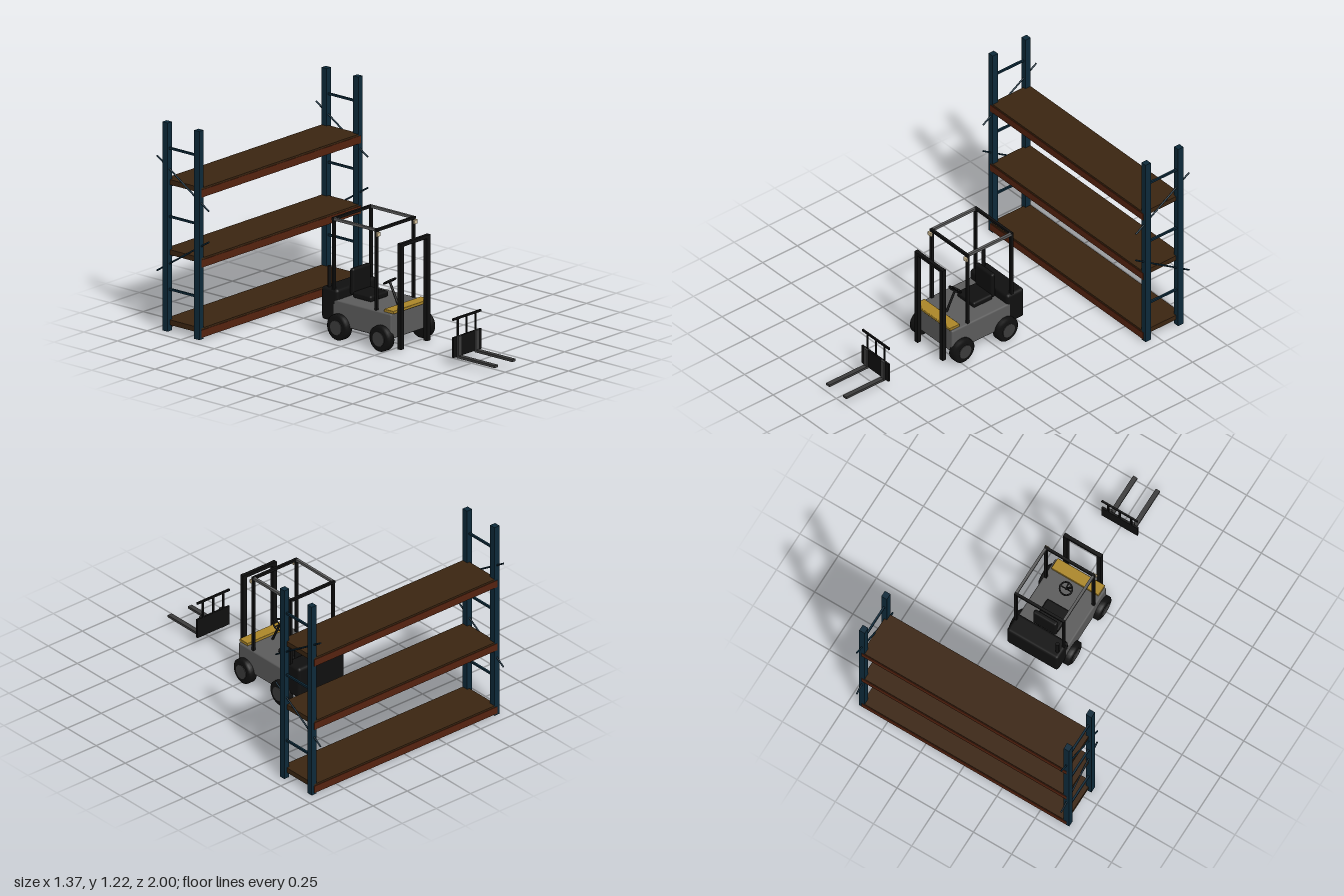
import * as THREE from 'three';
import { RoundedBoxGeometry } from 'three/addons/geometries/RoundedBoxGeometry.js';

const mat = (name, color) => {
  const m = new THREE.MeshStandardMaterial({ color });
  m.name = name;
  return m;
};

export function createModel() {
  const blue = mat('rack blue', 0x0d2a3a);
  const wood = mat('deck brown', 0x3b2511);
  const rust = mat('beam rust', 0x56230f);
  const black = mat('black', 0x101010);
  const grey = mat('body grey', 0x5c5c5c);
  const steel = mat('fork steel', 0x3c3c3c);
  const yellow = mat('hood yellow', 0xac8729);
  const cream = mat('lamp cream', 0xd6c29a);

  const model = new THREE.Group();
  const group = (name) => {
    const g = new THREE.Group();
    g.name = name;
    model.add(g);
    return g;
  };
  const put = (parent, name, geo, material, x, y, z) => {
    const m = new THREE.Mesh(geo, material);
    m.name = name;
    m.position.set(x, y, z);
    parent.add(m);
    return m;
  };
  // Box given by its min and max on each axis
  const box = (parent, name, material, x0, x1, y0, y1, z0, z1, r = 0) => {
    const s = [x1 - x0, y1 - y0, z1 - z0];
    const geo = r ? new RoundedBoxGeometry(...s, 2, r) : new THREE.BoxGeometry(...s);
    return put(parent, name, geo, material, (x0 + x1) / 2, (y0 + y1) / 2, (z0 + z1) / 2);
  };
  // Round bar between two points
  const rod = (parent, name, material, a, b, r) => {
    const p = new THREE.Vector3(...a), q = new THREE.Vector3(...b);
    const d = q.clone().sub(p);
    const m = put(parent, name, new THREE.CylinderGeometry(r, r, d.length(), 10), material,
      ...p.clone().add(q).multiplyScalar(0.5).toArray());
    m.quaternion.setFromUnitVectors(new THREE.Vector3(0, 1, 0), d.normalize());
    return m;
  };

  // Storage rack: uprights, rungs and diagonal braces
  const rack = group('rack');
  for (const s of [-1, 1]) {
    const x = s * 0.669;
    for (const z of [-0.687, -0.923]) {
      box(rack, 'upright', blue, x - 0.018, x + 0.018, 0, 1.22, z - 0.019, z + 0.019);
    }
    for (const y of [0.245, 0.67, 1.07]) {
      box(rack, 'rung', blue, x - 0.006, x + 0.006, y - 0.006, y + 0.006, -0.92, -0.69);
    }
    rod(rack, 'brace', blue, [x, 0.76, -0.613], [x, 1.007, -0.998], 0.005);
    rod(rack, 'brace', blue, [x, 0.58, -0.613], [x, 0.335, -0.998], 0.005);
  }
  // Three shelves, each a deck between two beams
  for (const y of [0.01, 0.42, 0.83]) {
    box(rack, 'deck', wood, -0.668, 0.668, y + 0.025, y + 0.055, -0.942, -0.668);
    for (const z of [-0.674, -0.936]) {
      box(rack, 'beam', rust, -0.67, 0.67, y, y + 0.044, z - 0.009, z + 0.009);
    }
  }

  // Truck body
  const truck = group('truck');
  box(truck, 'body', grey, -0.168, 0.168, 0.082, 0.23, -0.14, 0.3, 0.01);
  box(truck, 'hood', yellow, -0.155, 0.155, 0.228, 0.246, 0.235, 0.306, 0.004);
  box(truck, 'counterweight', black, -0.168, 0.168, 0.095, 0.288, -0.222, -0.1, 0.018);
  rod(truck, 'exhaust', black, [-0.142, 0.27, -0.18], [-0.142, 0.41, -0.18], 0.011);

  // Wheels with tyres and hub plates
  for (const s of [-1, 1]) {
    for (const z of [0.235, -0.08]) {
      const profile = [[0, -0.029], [0.062, -0.029], [0.075, -0.02], [0.075, 0.02], [0.062, 0.029], [0, 0.029]]
        .map((p) => new THREE.Vector2(...p));
      const tyre = put(truck, 'tyre', new THREE.LatheGeometry(profile, 28), black, s * 0.172, 0.08, z);
      tyre.rotation.z = Math.PI / 2;
      const hub = put(truck, 'hub', new THREE.CylinderGeometry(0.042, 0.042, 0.006, 24), steel, s * 0.202, 0.08, z);
      hub.rotation.z = Math.PI / 2;
    }
  }

  // Overhead guard with headlamps
  for (const s of [-1, 1]) {
    const x = s * 0.156;
    box(truck, 'frontPillar', black, x - 0.008, x + 0.008, 0.22, 0.69, 0.173, 0.189);
    box(truck, 'rearPillar', black, x - 0.008, x + 0.008, 0.22, 0.69, -0.144, -0.128);
    box(truck, 'roofRail', grey, x - 0.008, x + 0.008, 0.688, 0.703, -0.13, 0.174);
    box(truck, 'headlamp', cream, x - 0.015, x + 0.015, 0.661, 0.686, 0.187, 0.2, 0.004);
  }
  for (const z of [-0.138, 0.182]) {
    box(truck, 'roofCrossbar', black, -0.164, 0.164, 0.688, 0.703, z - 0.008, z + 0.008);
  }

  // Seat and steering
  box(truck, 'seatBase', black, -0.076, 0.076, 0.228, 0.264, -0.07, 0.068, 0.012);
  box(truck, 'seatBack', black, -0.076, 0.076, 0.24, 0.397, -0.092, -0.062, 0.012);
  rod(truck, 'steeringColumn', black, [0, 0.225, 0.205], [0, 0.35, 0.141], 0.007);
  const steering = group('steeringWheel');
  steering.position.set(0, 0.352, 0.141);
  steering.rotation.x = -0.57;
  const rim = put(steering, 'rim', new THREE.TorusGeometry(0.037, 0.005, 8, 28), black, 0, 0, 0);
  rim.rotation.x = Math.PI / 2;
  rod(steering, 'spoke', black, [-0.036, 0, 0], [0.036, 0, 0], 0.004);
  rod(steering, 'spoke', black, [0, 0, 0], [0, 0, 0.036], 0.004);

  // Mast
  const mast = group('mast');
  for (const s of [-1, 1]) {
    box(mast, 'mastRail', black, s * 0.11 - 0.014, s * 0.11 + 0.014, 0.018, 0.637, 0.309, 0.334);
  }
  box(mast, 'mastTop', black, -0.124, 0.124, 0.617, 0.637, 0.311, 0.332);

  // Fork carriage standing ahead of the mast
  const carriage = group('forkCarriage');
  box(carriage, 'plate', black, -0.118, 0.118, 0.052, 0.17, 0.709, 0.721);
  box(carriage, 'backrestBar', black, -0.118, 0.118, 0.268, 0.28, 0.708, 0.718);
  for (const x of [-0.075, 0, 0.075]) {
    box(carriage, 'backrestPost', black, x - 0.005, x + 0.005, 0.16, 0.272, 0.709, 0.717);
  }
  for (const s of [-1, 1]) {
    const x = s * 0.074;
    box(carriage, 'forkShank', steel, x - 0.015, x + 0.015, 0.044, 0.172, 0.718, 0.73);
    box(carriage, 'fork', steel, x - 0.014, x + 0.014, 0.044, 0.058, 0.72, 1);
  }

  return model;
}
